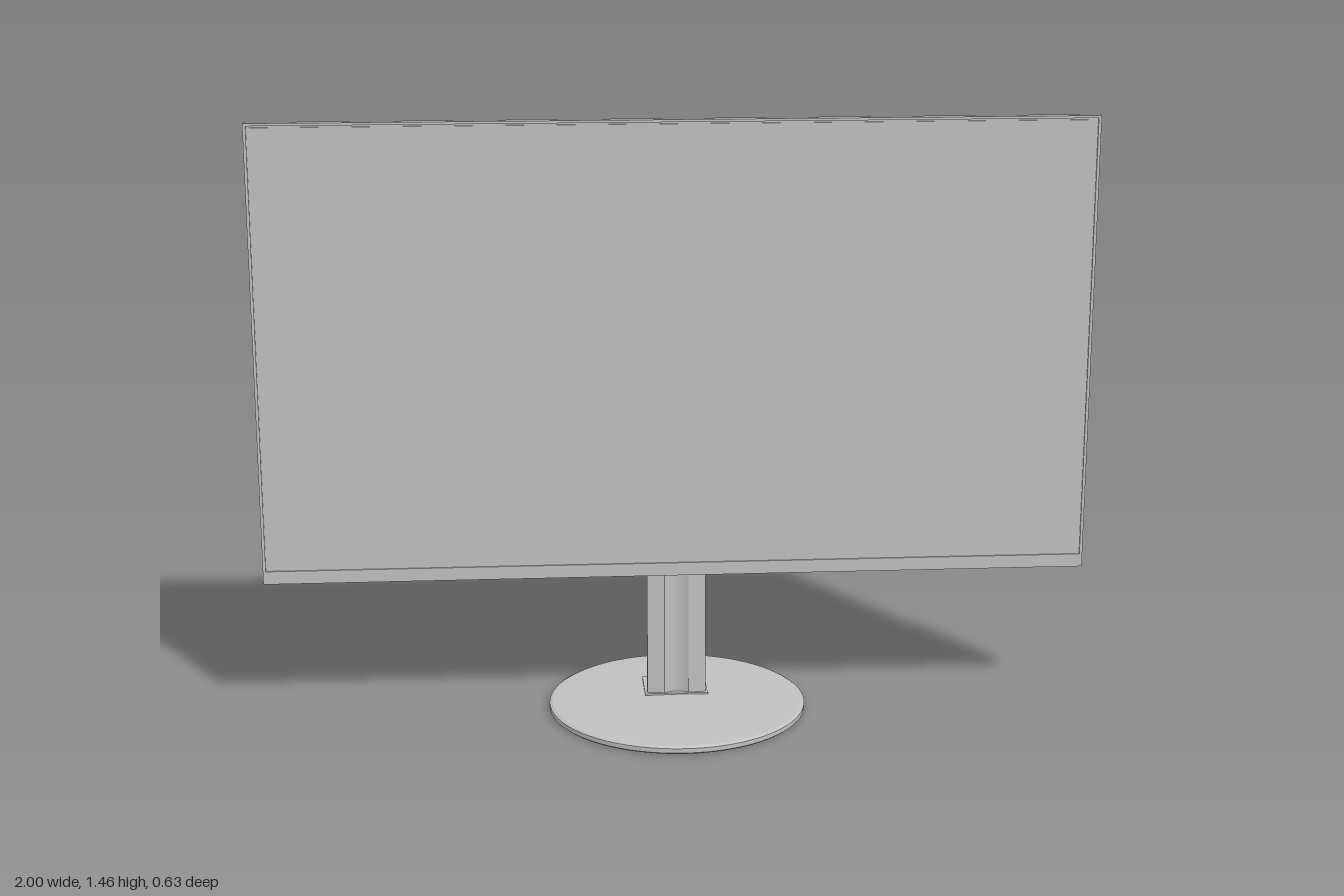
import * as THREE from 'three';

const grey = new THREE.MeshStandardMaterial({ color: 0xc0c0c0, side: THREE.DoubleSide });
grey.name = 'light grey';

function add(parent, name, geometry, x = 0, y = 0, z = 0) {
  const mesh = new THREE.Mesh(geometry, grey);
  mesh.name = name;
  mesh.position.set(x, y, z);
  parent.add(mesh);
  return mesh;
}
// Box given by its limits
function block(parent, name, x0, x1, y0, y1, z0, z1) {
  return add(parent, name, new THREE.BoxGeometry(x1 - x0, y1 - y0, z1 - z0),
    (x0 + x1) / 2, (y0 + y1) / 2, (z0 + z1) / 2);
}

// Housing depth: bowed across the width, rounded off at the ends
const endT = x => Math.max(0, (Math.abs(x) - 0.97) / 0.03);
const depth = x => 0.05 + 0.058 * (1 - x * x) - 0.012 * endT(x) ** 2;

// Housing cross-section [y, z], from front bottom round the back to front top
const portBox = { x0: -0.62, x1: -0.17, y0: 0.39, y1: 0.57, d: 0.025 };
const notch = { x: 0.1, y: 0.5, z: -0.03 };
function section(x, kind) {
  const d = depth(x), drop = 0.025 * endT(x) ** 2;
  const lip = Math.min(0.047, d - 0.003);
  const crease = Math.min(0.715, 0.72 - (d - 0.05) / 0.058 * 0.11) - drop;
  const p = [[0.345, -0.01]];
  if (kind === 'notch') p.push([0.345, notch.z], [notch.y, notch.z], [notch.y, -d]);
  else p.push([0.345, -d + 0.008], [0.36, -d + 0.002]);
  if (kind === 'ports') {
    const { y0, y1, d: r } = portBox;
    p.push([y0, -d], [y0, -d + r], [y1, -d + r], [y1, -d]);
  }
  p.push([crease, -d], [0.72 - drop, -lip], [0.728 - drop, -lip + 0.006],
    [0.73 - drop, -lip + 0.014], [0.73 - drop, -0.01]);
  return p;
}

// Skin between x0 and x1: one creased strip for each pair of section points
function skin(x0, x1, kind, steps) {
  const pos = [], index = [];
  const xs = Array.from({ length: steps + 1 }, (_, i) => x0 + (x1 - x0) * i / steps);
  const secs = xs.map(x => section(x, kind));
  for (let k = 0; k < secs[0].length - 1; k++) {
    const base = pos.length / 3;
    xs.forEach((x, i) => pos.push(x, ...secs[i][k], x, ...secs[i][k + 1]));
    for (let i = 0; i < steps; i++) {
      const a = base + 2 * i, b = a + 1, c = a + 2, e = a + 3;
      index.push(c, a, b, c, b, e);
    }
  }
  const g = new THREE.BufferGeometry();
  g.setAttribute('position', new THREE.Float32BufferAttribute(pos, 3));
  g.setIndex(index);
  g.computeVertexNormals();
  return g;
}

function buildDisplay() {
  const g = new THREE.Group();
  g.name = 'display';
  block(g, 'panelBody', -1, 1, 0.343, 1.456, -0.012, 0.008);
  block(g, 'screen', -0.99, 0.99, 0.379, 1.446, 0.008, 0.011);
  block(g, 'chinBezel', -1, 1, 0.343, 0.375, 0.008, 0.012);
  block(g, 'topBezel', -1, 1, 1.45, 1.456, 0.008, 0.012);
  for (const s of [-1, 1])
    block(g, 'sideBezel', s * 0.9965 - 0.0035, s * 0.9965 + 0.0035, 0.375, 1.45, 0.008, 0.012);
  return g;
}

function buildHousing() {
  const g = new THREE.Group();
  g.name = 'rearHousing';
  const { x0, x1, y0, y1, d } = portBox;
  [[-1, -0.97, '', 6], [-0.97, x0, '', 10], [x0, x1, 'ports', 12], [x1, -notch.x, '', 3],
    [-notch.x, notch.x, 'notch', 8], [notch.x, 0.97, '', 24], [0.97, 1, '', 6]]
    .forEach(([a, b, kind, n]) => add(g, 'housingShell', skin(a, b, kind, n)));

  // Flat ends
  for (const s of [-1, 1]) {
    const shape = new THREE.Shape(section(s, '').map(([y, z]) => new THREE.Vector2(-z, y)));
    add(g, 'housingEnd', new THREE.ShapeGeometry(shape), s).rotation.y = Math.PI / 2;
  }
  // Side walls of the two recesses
  for (const x of [x0, x1])
    block(g, 'portRecessWall', x - 0.001, x + 0.001, y0, y1, -depth(x), -depth(x) + d);
  for (const s of [-1, 1])
    block(g, 'notchWall', s * notch.x - 0.001, s * notch.x + 0.001, 0.346, notch.y, -depth(0.1) + 0.002, notch.z);

  // Sockets on the recess floor
  const floor = x => -depth(x) + d;
  block(g, 'videoSocketPlate', -0.425, -0.315, 0.48, 0.525, floor(0.37) - 0.004, floor(0.37) + 0.004);
  block(g, 'videoSocket', -0.4, -0.34, 0.488, 0.517, floor(0.37) - 0.014, floor(0.37));
  for (const x of [-0.415, -0.325]) {
    const screw = add(g, 'socketScrew', new THREE.CylinderGeometry(0.007, 0.007, 0.016, 6), x, 0.502, floor(x) - 0.004);
    screw.rotation.x = Math.PI / 2;
  }
  block(g, 'digitalSocket', -0.39, -0.325, 0.423, 0.446, floor(0.36) - 0.006, floor(0.36) + 0.004);
  for (const [x, y] of [[-0.46, 0.5], [-0.52, 0.5], [-0.46, 0.435]])
    add(g, 'audioJack', new THREE.TorusGeometry(0.011, 0.004, 8, 20), x, y, floor(x) - 0.002);

  // Cover plate with clipped lower corner, bent to follow the bowed back
  const cover = new THREE.Shape();
  [[0.25, 0.57], [0.25, 0.43], [0.28, 0.405], [0.67, 0.405], [0.67, 0.57]]
    .forEach(([x, y], i) => i ? cover.lineTo(x, y) : cover.moveTo(x, y));
  const plate = new THREE.ExtrudeGeometry(cover, { depth: 0.004, bevelEnabled: false });
  const pp = plate.attributes.position;
  const chord = x => -depth(0.25) + (depth(0.25) - depth(0.67)) * (x - 0.25) / 0.42;
  for (let i = 0; i < pp.count; i++)
    pp.setZ(i, chord(pp.getX(i)) - 0.007 + pp.getZ(i) * 2);
  plate.computeVertexNormals();
  add(g, 'coverPlate', plate);

  // Vent slats along the sloping upper back
  for (let i = 0; i < 24; i++) {
    const x = -0.46 + i * 0.04, t = 0.78;
    const y = 0.72 - (depth(x) - 0.05) / 0.058 * 0.11 * t;
    const slat = add(g, 'ventSlat', new THREE.BoxGeometry(0.022, 0.006, 0.004),
      x, y, -0.047 - (depth(x) - 0.047) * t);
    slat.rotation.x = 0.48;
  }
  block(g, 'lockSlot', -0.018, 0.018, 0.535, 0.546, -0.11, -0.105);
  block(g, 'topLatch', -0.08, 0.08, 0.728, 0.732, -0.034, -0.026);
  // Control buttons beneath the chin
  for (let i = 0; i < 6; i++)
    block(g, 'controlButton', 0.52 + i * 0.05, 0.55 + i * 0.05, 0.338, 0.347, -0.04, -0.025);
  return g;
}

function buildStand() {
  const g = new THREE.Group();
  g.name = 'stand';
  const profile = [[0, 0], [0.31, 0], [0.315, 0.004], [0.315, 0.004], [0.315, 0.015],
    [0.315, 0.015], [0.308, 0.019], [0.308, 0.019], [0, 0.025]].map(p => new THREE.Vector2(...p));
  add(g, 'baseDisc', new THREE.LatheGeometry(profile, 72));

  // Neck: grooved front, bevelled back, slightly tapering upward
  const s = new THREE.Shape();
  s.moveTo(-0.072, 0.03);
  s.lineTo(-0.072, 0.018);
  s.lineTo(-0.03, 0.014);
  s.quadraticCurveTo(0, 0.034, 0.03, 0.014);
  s.lineTo(0.072, 0.018);
  s.lineTo(0.072, 0.03);
  s.lineTo(0.066, 0.117);
  s.quadraticCurveTo(0.065, 0.127, 0.055, 0.127);
  s.lineTo(-0.055, 0.127);
  s.quadraticCurveTo(-0.065, 0.127, -0.066, 0.117);
  const neck = new THREE.ExtrudeGeometry(s, { depth: 1, bevelEnabled: false, curveSegments: 8 });
  neck.rotateX(-Math.PI / 2);
  const p = neck.attributes.position;
  for (let i = 0; i < p.count; i++) {
    const top = p.getY(i) > 0.5, z = p.getZ(i);
    if (top) p.setZ(i, z * 0.94);
    p.setY(i, top ? 0.435 + Math.max(0, 0.127 + z) * 0.45 : 0.02);
  }
  neck.computeVertexNormals();
  add(g, 'neck', neck);
  block(g, 'hingeBlock', -0.045, 0.045, 0.42, 0.485, -0.085, -0.03);
  block(g, 'neckFoot', -0.078, 0.078, 0.018, 0.028, -0.132, -0.01);
  return g;
}

export function createModel() {
  const model = new THREE.Group();
  model.name = 'monitor';
  model.add(buildDisplay(), buildHousing(), buildStand());
  return model;
}
